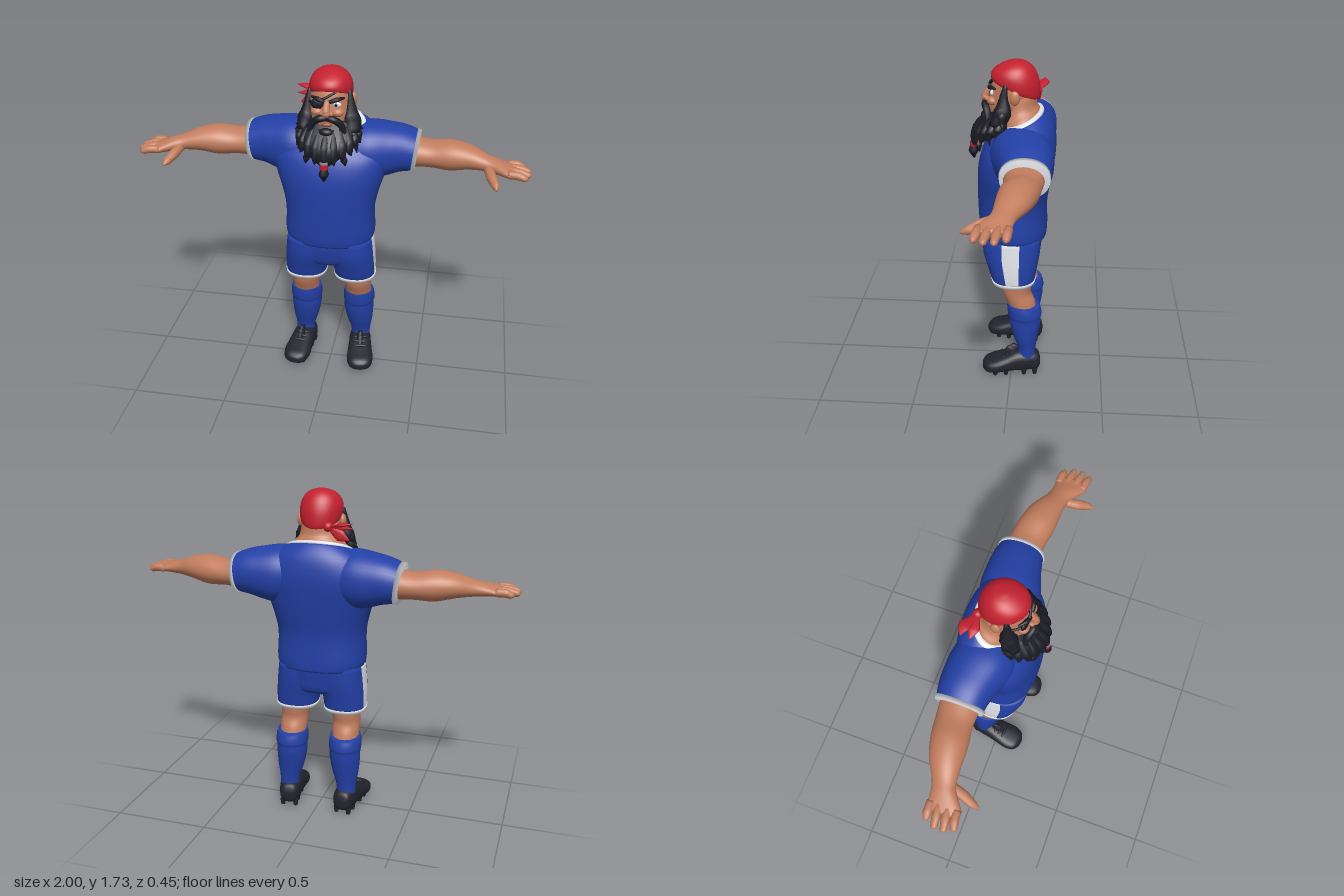
import * as THREE from 'three';

const V = (x, y, z) => new THREE.Vector3(x, y, z);
const mat = (name, color) => new THREE.MeshStandardMaterial({ name, color });

// One superellipse cross-section spanned by u and v
function ring(c, u, v, p = 2, n = 50) {
  const f = (k) => Math.sign(k) * Math.abs(k) ** (2 / p);
  return Array.from({ length: n }, (_, i) => {
    const a = (i / n) * Math.PI * 2;
    return c.clone().addScaledVector(u, f(Math.cos(a))).addScaledVector(v, f(Math.sin(a)));
  });
}
// Cross-sections for lofts running along +y, +x and +z
const ringY = (y, rx, zf, zb, cx = 0, tilt = 0, p = 2) => {
  const r = (zf - zb) / 2;
  return ring(V(cx, y, (zf + zb) / 2), V(rx, 0, 0), V(0, tilt * r, r), p);
};
const ringX = (x, y0, y1, z0, z1, tilt = 0, p = 2) => {
  const r = (y1 - y0) / 2;
  return ring(V(x, (y0 + y1) / 2, (z0 + z1) / 2), V(0, 0, (z1 - z0) / 2), V(tilt * r, r, 0), p, 36);
};
const ringZ = (z, rx, y0, y1) =>
  ring(V(0, (y0 + y1) / 2, z), V(0, (y1 - y0) / 2, 0), V(rx, 0, 0), 2.6, 28);

// Skin the cross-sections smoothly; columns picked by paint use the second material
function loft(rings, sub = 4, paint = null) {
  const n = rings[0].length, rows = (rings.length - 1) * sub + 1;
  const cols = rings[0].map((_, i) => new THREE.CatmullRomCurve3(rings.map((r) => r[i])).getPoints(rows - 1));
  const pos = [], idx = [[], []];
  for (let r = 0; r < rows; r++) for (let i = 0; i < n; i++) pos.push(...cols[i][r].toArray());
  for (let r = 0; r < rows - 1; r++) for (let i = 0; i < n; i++) {
    const a = r * n + i, b = r * n + ((i + 1) % n);
    idx[paint && paint(i) ? 1 : 0].push(a, a + n, b, b, a + n, b + n);
  }
  for (const r of [0, rows - 1]) {
    const c = V(0, 0, 0), k = pos.length / 3;
    cols.forEach((col) => c.addScaledVector(col[r], 1 / n));
    pos.push(c.x, c.y, c.z);
    for (let i = 0; i < n; i++) {
      const a = r * n + i, b = r * n + ((i + 1) % n);
      idx[0].push(...(r ? [k, b, a] : [k, a, b]));
    }
  }
  const g = new THREE.BufferGeometry();
  g.setAttribute('position', new THREE.Float32BufferAttribute(pos, 3));
  g.setIndex([...idx[0], ...idx[1]]);
  if (paint) {
    g.addGroup(0, idx[0].length, 0);
    g.addGroup(idx[0].length, idx[1].length, 1);
  }
  g.computeVertexNormals();
  return g;
}

// Tapered strand through points, one radius per point
function strand(points, radii, flat = 1, n = 10) {
  const curve = new THREE.CatmullRomCurve3(points.map((p) => V(...p)));
  const steps = (points.length - 1) * 4, fr = curve.computeFrenetFrames(steps);
  return loft(Array.from({ length: steps + 1 }, (_, i) => {
    const t = (i / steps) * (radii.length - 1), k = Math.min(Math.floor(t), radii.length - 2);
    const r = THREE.MathUtils.lerp(radii[k], radii[k + 1], t - k);
    return ring(curve.getPoint(i / steps), fr.binormals[i].clone().multiplyScalar(r),
      fr.normals[i].clone().multiplyScalar(r * flat), 2, n);
  }), 1);
}
const ball = (x, y, z, sx, sy, sz) => new THREE.SphereGeometry(1, 24, 16).scale(sx, sy, sz).translate(x, y, z);

function mirrored(geo) {
  const g = geo.clone().scale(-1, 1, 1), ix = g.index.array;
  for (let i = 0; i < ix.length; i += 3) [ix[i], ix[i + 1]] = [ix[i + 1], ix[i]];
  g.computeVertexNormals();
  return g;
}

export function createModel() {
  const root = new THREE.Group();
  root.name = 'figure';
  const blue = mat('kitBlue', 0x2340a6), white = mat('trimWhite', 0xe2e5ea), skin = mat('skin', 0xc27d5e);
  const red = mat('bandanaRed', 0xc4202f), hair = mat('hairBlack', 0x1b1c25), shoe = mat('bootBlack', 0x23232e);
  const lip = mat('lip', 0x9c5445), grey = mat('beadGrey', 0x8d93a0);
  const add = (name, geo, m) => {
    const mesh = new THREE.Mesh(geo, m);
    mesh.name = name;
    root.add(mesh);
  };
  const both = (name, geo, m) => {
    add(name + 'Left', geo, m);
    add(name + 'Right', mirrored(geo), m);
  };

  // Shirt body, collar and hem
  add('shirtBody', loft([
    ringY(0.815, 0.225, 0.165, -0.18, 0, 0, 2.4), ringY(0.85, 0.235, 0.172, -0.182, 0, 0, 2.4),
    ringY(1.0, 0.232, 0.18, -0.18, 0, 0, 2.4), ringY(1.1, 0.252, 0.18, -0.195, 0, 0, 2.4),
    ringY(1.2, 0.282, 0.175, -0.21, 0, 0, 2.4), ringY(1.3, 0.295, 0.15, -0.22, 0, -0.05, 2.4),
    ringY(1.38, 0.255, 0.115, -0.205, 0, -0.2, 2.2), ringY(1.43, 0.19, 0.085, -0.165, 0, -0.35),
    ringY(1.447, 0.155, 0.07, -0.14, 0, -0.4)]), blue);
  add('collar', loft([ringY(1.432, 0.176, 0.084, -0.156, 0, -0.38), ringY(1.447, 0.167, 0.078, -0.151, 0, -0.4),
    ringY(1.453, 0.15, 0.066, -0.137, 0, -0.4)], 2), white);

  // Sleeves and cuffs
  both('sleeve', loft([
    ringX(0.1, 1.18, 1.44, -0.19, 0.1), ringX(0.2, 1.15, 1.447, -0.213, 0.1, 0, 2.2),
    ringX(0.29, 1.165, 1.435, -0.215, 0.07, 0.05, 2.2), ringX(0.36, 1.185, 1.42, -0.21, 0.047, 0.1, 2.2),
    ringX(0.432, 1.197, 1.393, -0.197, 0.033, 0.12, 2.2)]), blue);
  both('sleeveTrim', loft([ringX(0.416, 1.191, 1.402, -0.204, 0.04, 0.12, 2.2),
    ringX(0.436, 1.193, 1.397, -0.201, 0.037, 0.12, 2.2)], 1), white);

  // Arms and hands
  both('arm', loft([
    ringX(0.4, 1.215, 1.37, -0.18, 0.02), ringX(0.5, 1.22, 1.357, -0.168, 0.015),
    ringX(0.6, 1.215, 1.37, -0.155, 0.03), ringX(0.7, 1.235, 1.355, -0.125, 0.035),
    ringX(0.79, 1.243, 1.322, -0.075, 0.045), ringX(0.84, 1.243, 1.31, -0.06, 0.075),
    ringX(0.89, 1.246, 1.295, -0.055, 0.108), ringX(0.925, 1.252, 1.286, -0.045, 0.1)]), skin);
  [[-0.04, -0.036, 0.975], [0, 0.012, 1.0], [0.042, 0.058, 1.0], [0.085, 0.1, 0.982]].forEach(([z0, z1, x], i) =>
    both('finger' + i, strand([[0.885, 1.273, z0], [0.94, 1.272, (z0 + z1) / 2], [x - 0.012, 1.262, z1], [x, 1.26, z1]],
      [0.021, 0.021, 0.016, 0.005]), skin));
  both('thumb', strand([[0.79, 1.27, 0.02], [0.81, 1.25, 0.09], [0.83, 1.232, 0.14], [0.835, 1.225, 0.17]],
    [0.024, 0.026, 0.02, 0.006]), skin);

  // Shorts with side stripe and hem trim
  add('shortsSeat', loft([ringY(0.655, 0.06, 0.05, -0.07), ringY(0.69, 0.17, 0.125, -0.14, 0, 0, 2.4),
    ringY(0.76, 0.215, 0.148, -0.155, 0, 0, 2.4), ringY(0.83, 0.215, 0.155, -0.165, 0, 0, 2.4)]), blue);
  both('shortsLeg', loft([
    ringY(0.585, 0.11, 0.1, -0.125, 0.133, 0, 2.3), ringY(0.65, 0.115, 0.12, -0.135, 0.129, 0, 2.3),
    ringY(0.74, 0.122, 0.147, -0.15, 0.116, 0, 2.3), ringY(0.83, 0.12, 0.15, -0.155, 0.108, 0, 2.3)],
    4, (i) => i < 2 || i > 47), [blue, white]);
  both('shortsTrim', loft([ringY(0.575, 0.112, 0.102, -0.127, 0.134, 0, 2.3),
    ringY(0.594, 0.114, 0.106, -0.13, 0.133, 0, 2.3)], 1), white);

  // Legs and socks
  both('knee', loft([ringY(0.4, 0.07, 0.005, -0.14, 0.148), ringY(0.46, 0.072, 0.025, -0.125, 0.147),
    ringY(0.51, 0.073, 0.046, -0.105, 0.145), ringY(0.56, 0.077, 0.056, -0.11, 0.142),
    ringY(0.64, 0.085, 0.06, -0.11, 0.138)]), skin);
  both('sock', loft([
    ringY(0.09, 0.05, -0.035, -0.135, 0.163), ringY(0.16, 0.054, -0.038, -0.135, 0.161),
    ringY(0.24, 0.072, -0.012, -0.147, 0.155), ringY(0.32, 0.082, 0.008, -0.16, 0.15),
    ringY(0.365, 0.083, 0.012, -0.162, 0.15), ringY(0.372, 0.086, 0.016, -0.165, 0.15),
    ringY(0.41, 0.086, 0.021, -0.162, 0.15, 0.1), ringY(0.44, 0.081, 0.02, -0.153, 0.149, 0.1)]), blue);

  // Boots with tongue, laces and studs
  const place = (g) => g.rotateY(0.13).translate(0.17, 0, 0);
  both('boot', place(loft([
    ringZ(-0.162, 0.022, 0.045, 0.09), ringZ(-0.148, 0.045, 0.025, 0.125), ringZ(-0.09, 0.06, 0.02, 0.14),
    ringZ(-0.03, 0.063, 0.02, 0.142), ringZ(0.03, 0.069, 0.02, 0.12), ringZ(0.09, 0.073, 0.018, 0.1),
    ringZ(0.135, 0.058, 0.02, 0.085), ringZ(0.156, 0.025, 0.033, 0.065)])), shoe);
  both('bootTongue', place(strand([[0, 0.1, 0.02], [0, 0.14, -0.01], [0, 0.173, -0.025]], [0.035, 0.04, 0.02], 0.5)), shoe);
  for (let i = 0; i < 3; i++)
    both('lace' + i, place(ball(0, 0.143 - i * 0.012, -0.005 + i * 0.025, 0.04, 0.008, 0.008)), shoe);
  for (const z of [-0.13, -0.07, 0.03, 0.09]) for (const x of [-0.035, 0.035])
    both('stud', place(new THREE.CylinderGeometry(0.016, 0.011, 0.032, 10).translate(x, 0.016, z)), shoe);

  // Neck, head, ears, nose and cheeks
  add('neck', loft([ringY(1.4, 0.15, 0.07, -0.135, 0, -0.4), ringY(1.45, 0.148, 0.066, -0.134, 0, -0.4),
    ringY(1.49, 0.112, 0.06, -0.12, 0, -0.3), ringY(1.57, 0.095, 0.05, -0.115)]), skin);
  add('head', loft([ringY(1.42, 0.05, 0.1, 0), ringY(1.46, 0.085, 0.118, -0.05), ringY(1.52, 0.102, 0.12, -0.09),
    ringY(1.58, 0.105, 0.112, -0.115), ringY(1.64, 0.1, 0.098, -0.118), ringY(1.7, 0.07, 0.06, -0.085)]), skin);
  both('ear', ball(0.112, 1.575, -0.015, 0.016, 0.036, 0.025), skin);
  both('cheek', ball(0.05, 1.543, 0.098, 0.032, 0.022, 0.028), skin);
  add('noseBridge', strand([[0, 1.6, 0.108], [0, 1.57, 0.128], [0, 1.548, 0.138]], [0.014, 0.018, 0.02]), skin);
  add('noseTip', ball(0, 1.546, 0.138, 0.022, 0.019, 0.02), skin);
  both('nostril', ball(0.02, 1.542, 0.126, 0.014, 0.012, 0.014), skin);

  // Eye, brows and eye patch
  add('eye', ball(0.046, 1.582, 0.1, 0.022, 0.013, 0.01), white);
  add('pupil', ball(0.044, 1.582, 0.109, 0.007, 0.008, 0.004), hair);
  both('brow', strand([[0.012, 1.597, 0.116], [0.045, 1.609, 0.11], [0.08, 1.611, 0.082]], [0.009, 0.012, 0.005]), hair);
  add('eyePatch', ball(-0.046, 1.582, 0.1, 0.036, 0.03, 0.018), hair);
  add('patchStrap', strand([[0.04, 1.642, 0.094], [-0.02, 1.61, 0.115], [-0.075, 1.585, 0.09], [-0.108, 1.57, 0.03]],
    [0.006, 0.007, 0.007, 0.006]), hair);

  // Bandana with knot and tails
  add('bandana', loft([ringY(1.597, 0.103, 0.108, -0.13, 0, 0.42), ringY(1.615, 0.108, 0.109, -0.134, 0, 0.4),
    ringY(1.66, 0.105, 0.096, -0.13, 0, 0.25), ringY(1.7, 0.085, 0.068, -0.106, 0, 0.1),
    ringY(1.724, 0.052, 0.035, -0.07), ringY(1.734, 0.015, 0, -0.03)]), red);
  add('bandanaKnot', ball(-0.065, 1.56, -0.118, 0.025, 0.024, 0.024), red);
  [[-0.2, 1.585, -0.15], [-0.175, 1.5, -0.125], [-0.19, 1.555, -0.11]].forEach((t, i) =>
    add('bandanaTail' + i, strand([[-0.07, 1.56, -0.118], [t[0] * 0.75, t[1] * 0.7 + 0.47, t[2]], t],
      [0.012, 0.03, 0.003], 0.35), red));

  // Beard mass, sideburns, moustache and mouth
  add('beard', loft([ringY(1.295, 0.025, 0.2, 0.16), ringY(1.33, 0.072, 0.21, 0.13), ringY(1.38, 0.11, 0.203, 0.075),
    ringY(1.42, 0.133, 0.175, 0.045), ringY(1.455, 0.13, 0.142, 0.01), ringY(1.495, 0.11, 0.1, -0.01)]), hair);
  both('sideburn', strand([[0.098, 1.635, 0.03], [0.104, 1.57, 0.04], [0.108, 1.5, 0.045], [0.125, 1.43, 0.08]],
    [0.01, 0.022, 0.045, 0.035]), hair);
  both('moustache', strand([[0, 1.52, 0.132], [0.03, 1.52, 0.138], [0.065, 1.495, 0.125], [0.085, 1.455, 0.12], [0.09, 1.43, 0.135]],
    [0.013, 0.018, 0.018, 0.014, 0.003]), hair);
  add('lowerLip', ball(0, 1.485, 0.122, 0.026, 0.011, 0.014), lip);
  add('chinTuft', ball(0, 1.452, 0.138, 0.035, 0.02, 0.024), hair);

  // Beard locks fanned round the jaw in two layers
  for (let k = -5; k <= 5; k++) {
    const s = Math.sin(k * 0.3), c = Math.cos(k * 0.3), w = Math.abs(s);
    add('outerLock', strand([[s * 0.11, 1.48 - c * 0.03, 0.04 + c * 0.08], [s * 0.145, 1.42 - c * 0.04, 0.055 + c * 0.125],
      [s * 0.148, 1.37 - c * 0.05 + w * 0.03, 0.065 + c * 0.135], [s * 0.165, 1.345 - c * 0.06 + w * 0.045, 0.07 + c * 0.13]],
      [0.02, 0.028, 0.018, 0.002]), hair);
  }
  for (const y of [1.5, 1.46, 1.425])
    both('sideLock', strand([[0.105, y + 0.03, 0.04], [0.138, y - 0.015, 0.045], [0.148, y - 0.045, 0.045], [0.17, y - 0.055, 0.04]],
      [0.02, 0.024, 0.014, 0.002]), hair);

  // Braids with beads
  const bead = (x, y, z, r, h) => new THREE.CylinderGeometry(r, r, h, 14).translate(x, y, z);
  add('centreBraid', strand([[0, 1.34, 0.195], [0, 1.3, 0.2], [0, 1.255, 0.203], [0, 1.215, 0.2]], [0.022, 0.014, 0.026, 0.003]), hair);
  add('centreBead', bead(0, 1.298, 0.2, 0.021, 0.028), red);
  add('centreRing', bead(0, 1.318, 0.199, 0.022, 0.012), grey);
  both('sideBraid', strand([[0.075, 1.4, 0.16], [0.085, 1.35, 0.165], [0.094, 1.32, 0.165], [0.1, 1.29, 0.16]],
    [0.02, 0.012, 0.018, 0.002]), hair);
  both('sideBead', bead(0.086, 1.345, 0.165, 0.016, 0.024), red);
  both('sideRing', bead(0.083, 1.362, 0.165, 0.017, 0.01), grey);
  both('outerBraid', strand([[0.125, 1.43, 0.1], [0.138, 1.39, 0.11], [0.148, 1.34, 0.105]], [0.018, 0.013, 0.002]), hair);
  both('outerBead', bead(0.138, 1.385, 0.11, 0.015, 0.02), lip);
  return root;
}
